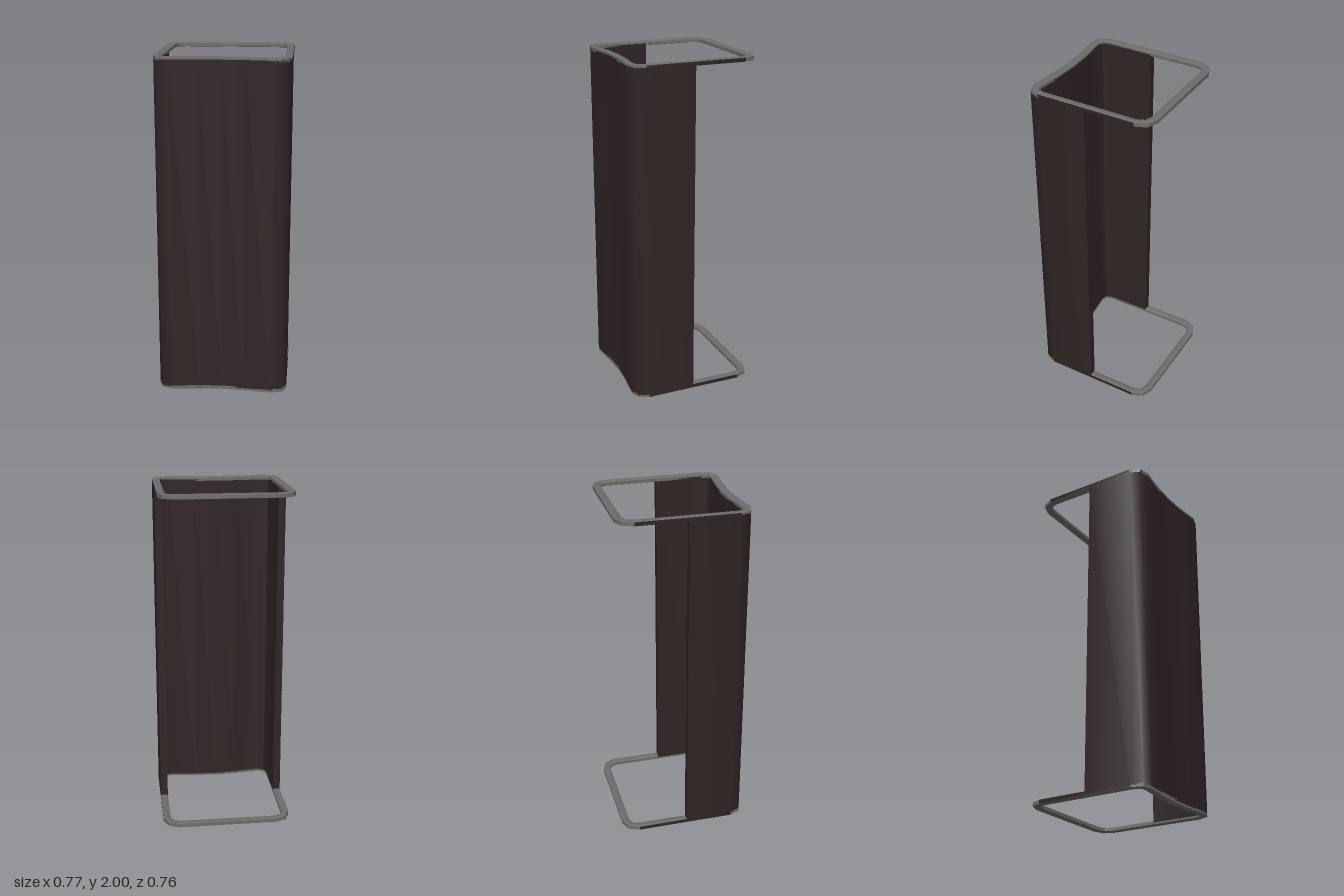
import * as THREE from 'three';
import { toCreasedNormals } from 'three/addons/utils/BufferGeometryUtils.js';

const darkBrown = new THREE.MeshStandardMaterial({ color: 0x2f2424 });
darkBrown.name = 'dark brown';
const grey = new THREE.MeshStandardMaterial({ color: 0x6c6c6c });
grey.name = 'grey';

// Plan outline of the +x half, from back centre to front centre: outer [x, z], inner [x, z]
const half = [
  [0, -0.382, 0, -0.337],
  [0.293, -0.382, 0.283, -0.337],
  [0.358, -0.355, 0.325, -0.323],
  [0.385, -0.29, 0.341, -0.283],
  [0.385, 0.298, 0.341, 0.288],
  [0.358, 0.36, 0.329, 0.325],
  [0.292, 0.378, 0.29, 0.334],
  [0.13, 0.359, 0.13, 0.315],
  [0, 0.353, 0, 0.309],
];
const mirror = ([a, b, c, d]) => [-a, b, -c, d];
const plan = [...half, ...half.slice(1, -1).reverse().map(mirror)];

// Ring cross-section: [0 = inner edge .. 1 = outer edge, height]
const section = [
  [0, 0.003], [0, 0.021], [0.2, 0.026], [0.8, 0.027],
  [1, 0.024], [1, 0.002], [0.85, 0], [0.15, 0],
];

function ringGeometry() {
  const point = (i, j) => {
    const [ox, oz, ix, iz] = plan[i % plan.length];
    const [t, y] = section[j % section.length];
    return [ix + (ox - ix) * t, y, iz + (oz - iz) * t];
  };
  const faces = [[], []]; // grey, dark brown
  for (let i = 0; i < plan.length; i++) {
    const x0 = plan[i][0], x1 = plan[(i + 1) % plan.length][0];
    const straightSide = Math.abs(x0) > 0.38 && x0 === x1;
    for (let j = 0; j < section.length; j++) {
      const a = point(i, j), b = point(i + 1, j), c = point(i + 1, j + 1), d = point(i, j + 1);
      // The outer wall of the two straight sides matches the panel
      faces[straightSide && j === 4 ? 1 : 0].push(...a, ...b, ...c, ...a, ...c, ...d);
    }
  }
  const geometry = new THREE.BufferGeometry();
  geometry.setAttribute('position', new THREE.Float32BufferAttribute([...faces[0], ...faces[1]], 3));
  geometry.addGroup(0, faces[0].length / 3, 0);
  geometry.addGroup(faces[0].length / 3, faces[1].length / 3, 1);
  return toCreasedNormals(geometry, 0.6);
}

// U-shaped wall around the front half, with a hollow curved front
function panelGeometry(y0, y1) {
  const bend = [[0.385, 0.01, 0.341, 0.01], ...half.slice(4)];
  const path = [...bend, ...bend.slice(0, -1).reverse().map(mirror)];
  const outline = [
    ...path.map(([x, z]) => new THREE.Vector2(x, -z)),
    ...path.map((p) => new THREE.Vector2(p[2], -p[3])).reverse(),
  ];
  const geometry = new THREE.ExtrudeGeometry(new THREE.Shape(outline), { depth: y1 - y0, bevelEnabled: false });
  geometry.rotateX(-Math.PI / 2).translate(0, y0, 0);
  return toCreasedNormals(geometry, 0.9);
}

export function createModel() {
  const model = new THREE.Group();
  model.name = 'openFrame';

  const panel = new THREE.Mesh(panelGeometry(0.015, 1.985), darkBrown);
  panel.name = 'curvedPanel';
  model.add(panel);

  // Bottom and top rims
  const ring = ringGeometry();
  for (const [name, y] of [['bottomRim', 0], ['topRim', 1.973]]) {
    const rim = new THREE.Mesh(ring, [grey, darkBrown]);
    rim.name = name;
    rim.position.y = y;
    model.add(rim);
  }
  return model;
}
